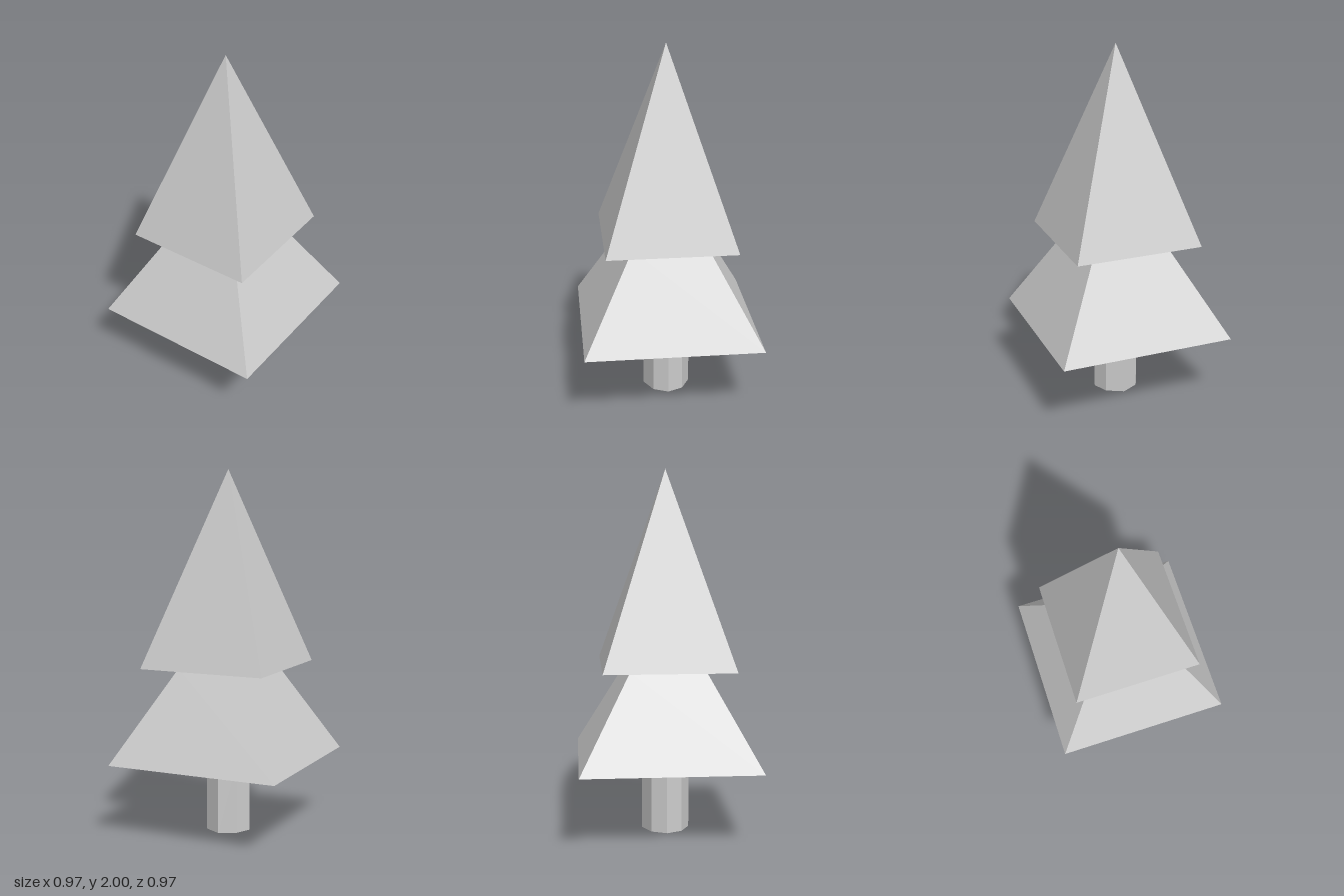
import * as THREE from 'three';

const material = new THREE.MeshStandardMaterial({ color: 0xcccccc, flatShading: true });

export function createModel() {
  const tree = new THREE.Group();
  tree.name = 'tree';

  // Foliage: two stacked square tiers, turned as a four-sided lathe.
  // Each profile point is [half width, height].
  const profile = [[0, 0.41], [0.487, 0.41], [0.205, 0.92], [0.357, 0.93], [0, 2]]
    .map(([half, y]) => new THREE.Vector2(half * Math.SQRT2, y));
  const foliage = new THREE.Mesh(new THREE.LatheGeometry(profile, 4, Math.PI / 4), material);
  foliage.name = 'foliage';
  tree.add(foliage);

  // Trunk: eight-sided post, its diagonal corners pulled in slightly along x
  const trunkGeometry = new THREE.CylinderGeometry(0.131, 0.131, 0.41, 8);
  const pos = trunkGeometry.attributes.position;
  for (let i = 0; i < pos.count; i++) {
    if (Math.abs(pos.getZ(i)) > 0.01) pos.setX(i, pos.getX(i) * 0.9);
  }
  trunkGeometry.computeVertexNormals();
  const trunk = new THREE.Mesh(trunkGeometry, material);
  trunk.name = 'trunk';
  trunk.position.y = 0.205;
  tree.add(trunk);

  return tree;
}
